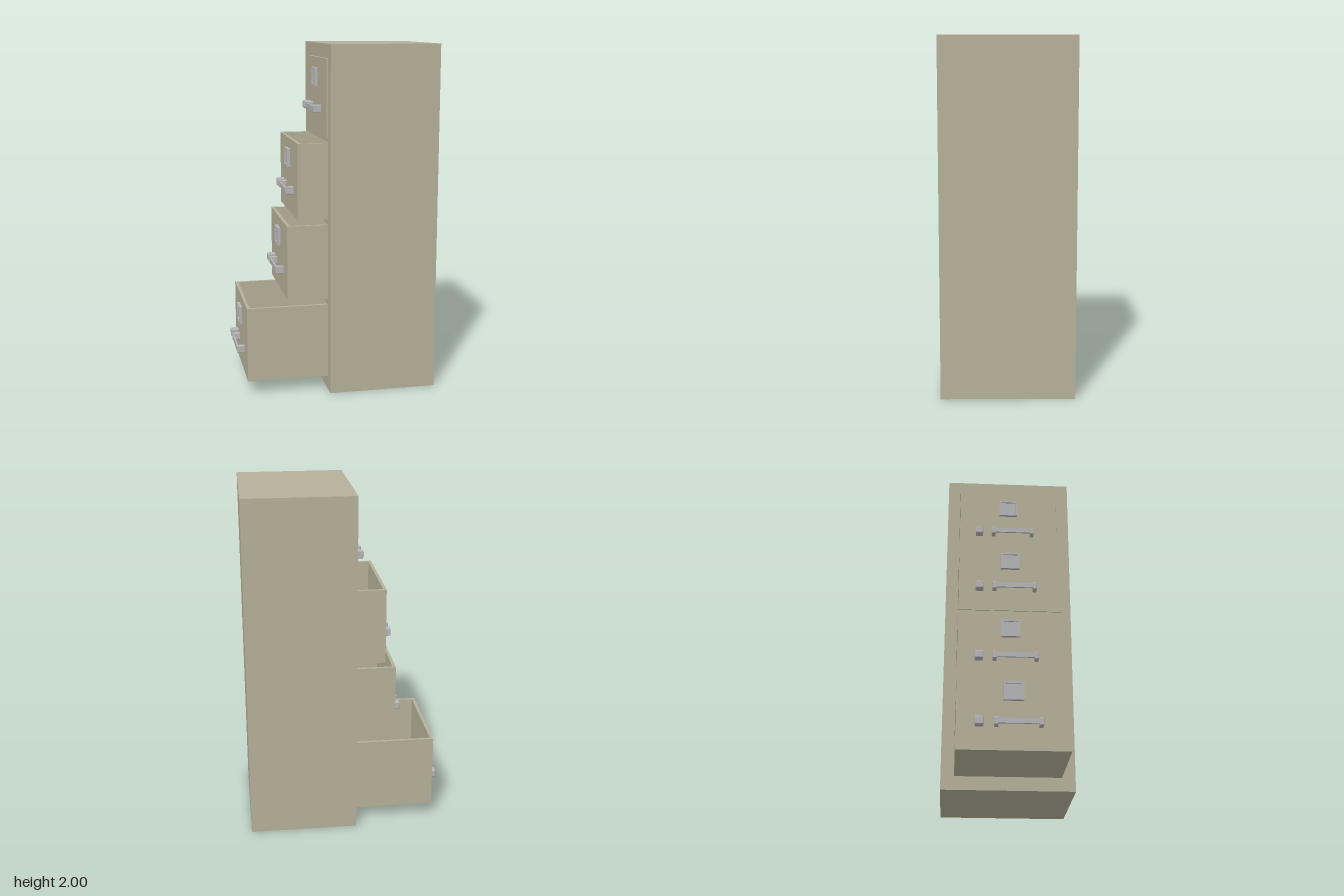
import * as THREE from 'three';
import { RoundedBoxGeometry } from 'three/addons/geometries/RoundedBoxGeometry.js';

const paint = new THREE.MeshStandardMaterial({ color: 0xb5b097 });
paint.name = 'olive beige paint';
const metal = new THREE.MeshStandardMaterial({ color: 0xb5b5b8 });
metal.name = 'grey metal';

const FRONT = -0.055, BACK = 0.57, DEPTH = 0.6, HEIGHT = 0.435, HALF = 0.3, WALL = 0.018;
// Each drawer: bottom height and x of its front face (drawers open toward -x)
const DRAWERS = [
  { y: 0.08, x: -0.525 },
  { y: 0.55, x: -0.29 },
  { y: 1.018, x: -0.228 },
  { y: 1.485, x: -0.064 },
];

function add(parent, name, geometry, material, x = 0, y = 0, z = 0) {
  const mesh = new THREE.Mesh(geometry, material);
  mesh.name = name;
  mesh.position.set(x, y, z);
  parent.add(mesh);
  return mesh;
}

// Box given by its lower and upper corners
function box(parent, name, material, [x0, y0, z0], [x1, y1, z1]) {
  return add(parent, name, new THREE.BoxGeometry(x1 - x0, y1 - y0, z1 - z0), material,
    (x0 + x1) / 2, (y0 + y1) / 2, (z0 + z1) / 2);
}

function rect(target, x0, y0, x1, y1) {
  target.moveTo(x0, y0);
  target.lineTo(x1, y0);
  target.lineTo(x1, y1);
  target.lineTo(x0, y1);
  target.closePath();
  return target;
}

// Plate in the z-y plane with rectangular holes, extruded along +x
function pierced(outer, holes, depth) {
  const shape = rect(new THREE.Shape(), ...outer);
  for (const h of holes) shape.holes.push(rect(new THREE.Path(), ...h));
  return new THREE.ExtrudeGeometry(shape, { depth, bevelEnabled: false }).rotateY(Math.PI / 2);
}

// Pull handle, lock and label holder, with the drawer face at x = 0
function createFittings() {
  const g = new THREE.Group();
  g.name = 'fittings';
  const y = 0.147, out = 0.045;

  add(g, 'lock', new RoundedBoxGeometry(out + 0.006, 0.045, 0.046, 2, 0.006), metal,
    -(out - 0.006) / 2, y, -0.179);
  for (const z of [-0.091, 0.143]) {
    add(g, 'handlePost', new RoundedBoxGeometry(out + 0.006, 0.045, 0.024, 2, 0.005), metal,
      -(out - 0.006) / 2, y, z);
  }
  box(g, 'handleBar', metal, [-0.044, y - 0.014, -0.09], [-0.034, y + 0.014, 0.142]);

  add(g, 'labelFrame', pierced([-0.055, 0.27, 0.055, 0.375], [[-0.043, 0.282, 0.043, 0.363]], 0.018),
    metal, -0.018);
  box(g, 'labelPlate', metal, [-0.01, 0.28, -0.045], [-0.001, 0.365, 0.045]);
  return g;
}

// Open-topped drawer with its front face at x = 0 and its bottom at y = 0
function createDrawer() {
  const g = new THREE.Group();
  g.name = 'drawer';
  box(g, 'drawerFront', paint, [0, 0, -HALF], [WALL, HEIGHT, HALF]);
  box(g, 'drawerBack', paint, [DEPTH - WALL, 0, -HALF], [DEPTH, HEIGHT, HALF]);
  box(g, 'drawerSide', paint, [WALL, 0, HALF - WALL], [DEPTH - WALL, HEIGHT, HALF]);
  box(g, 'drawerSide', paint, [WALL, 0, -HALF], [DEPTH - WALL, HEIGHT, WALL - HALF]);
  box(g, 'drawerFloor', paint, [WALL, 0, WALL - HALF], [DEPTH - WALL, WALL, HALF - WALL]);
  g.add(createFittings());
  return g;
}

export function createModel() {
  const model = new THREE.Group();
  model.name = 'filingCabinet';

  // Cabinet shell with one compartment per drawer, closed by a back panel
  const gap = 0.002;
  const openings = DRAWERS.map(({ y }) => [-HALF - gap, y - gap, HALF + gap, y + HEIGHT + gap]);
  const shellDepth = 0.605;
  add(model, 'cabinetShell', pierced([-0.375, 0, 0.375, 2], openings, shellDepth), paint, FRONT);
  box(model, 'cabinetBack', paint, [FRONT + shellDepth, 0, -0.375], [BACK, 2, 0.375]);

  for (const { x, y } of DRAWERS) {
    const drawer = createDrawer();
    drawer.position.set(x, y, 0);
    model.add(drawer);
  }
  return model;
}
